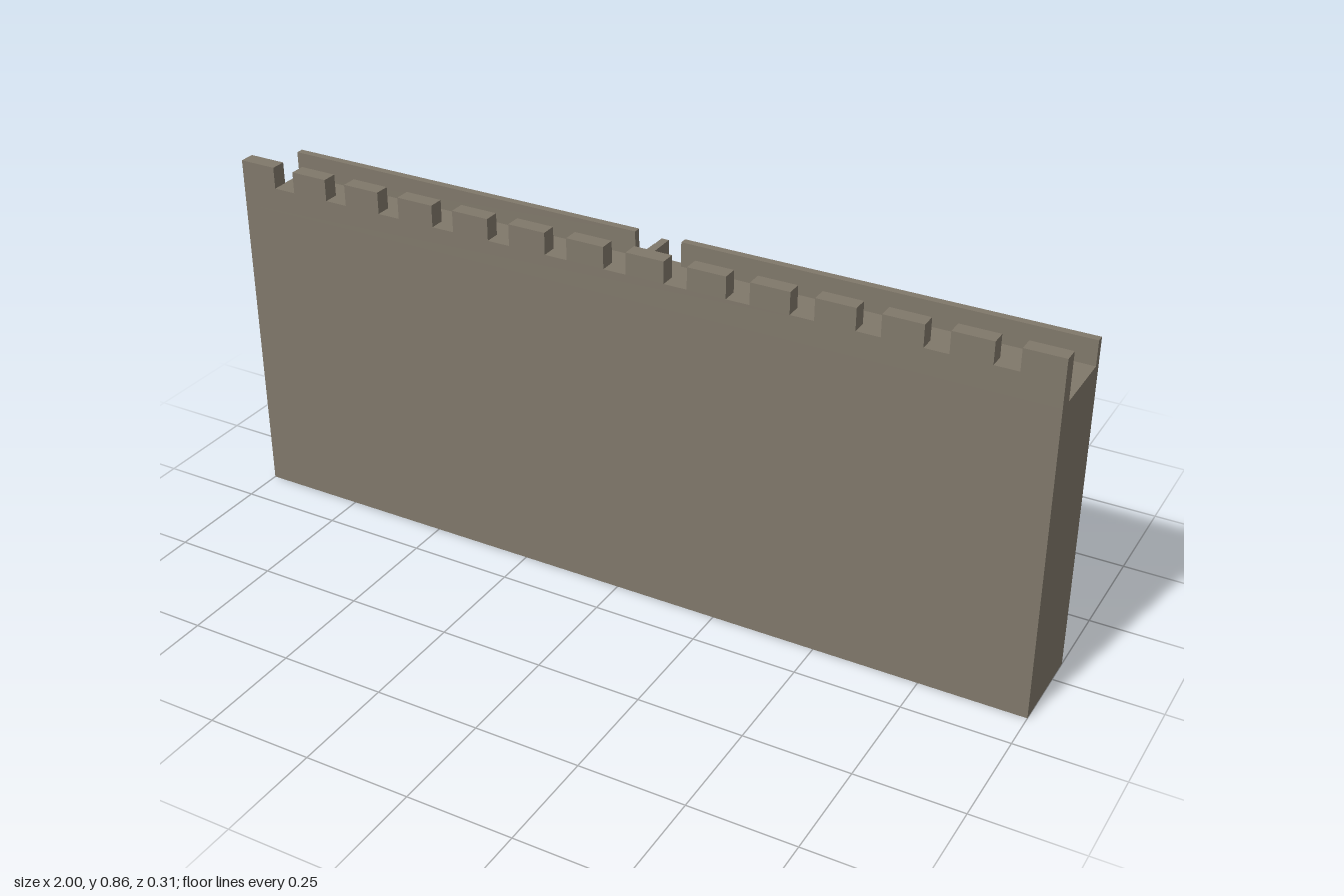
import * as THREE from 'three';

const FRONT = 0.1545, BACK = -0.064, WALK = 0.751, RAIL = 0.81, TOP = 0.862;

export function createModel() {
  const model = new THREE.Group();
  const stone = new THREE.MeshStandardMaterial({ color: 0x80786a, side: THREE.DoubleSide });
  stone.name = 'stone';

  const add = (name, geometry) => {
    const mesh = new THREE.Mesh(geometry, stone);
    mesh.name = name;
    model.add(mesh);
    return mesh;
  };
  // Box given by its two opposite corners
  const block = (name, x0, x1, y0, y1, z0, z1) => {
    const mesh = add(name, new THREE.BoxGeometry(x1 - x0, y1 - y0, z1 - z0));
    mesh.position.set((x0 + x1) / 2, (y0 + y1) / 2, (z0 + z1) / 2);
    return mesh;
  };

  // Hollow wall body, open underneath (bottom side of the box removed)
  const body = block('wallBody', -1, 1, 0, WALK, BACK, FRONT).geometry;
  const index = Array.from(body.index.array);
  index.splice(body.groups[3].start, body.groups[3].count);
  body.setIndex(index);
  body.clearGroups();

  // Front parapet with a row of merlons
  const merlons = 14, width = 0.0917, pitch = (2 - width) / (merlons - 1);
  const outline = new THREE.Shape();
  outline.moveTo(1, WALK);
  for (let i = merlons - 1; i >= 0; i--) {
    const x = -1 + i * pitch;
    outline.lineTo(x + width, i === merlons - 1 ? WALK : RAIL);
    outline.lineTo(x + width, TOP);
    outline.lineTo(x, TOP);
    outline.lineTo(x, i === 0 ? WALK : RAIL);
  }
  const parapet = new THREE.ExtrudeGeometry(outline, { depth: FRONT - 0.118, bevelEnabled: false });
  add('battlement', parapet.translate(0, 0, 0.118));

  // Low rear rail with a gap at the head of the stairs
  block('rearRailRight', -1, -0.063, WALK, RAIL, BACK, -0.046);
  block('rearRailLeft', 0.053, 1, WALK, RAIL, BACK, -0.046);

  // Staircase rising along the back towards the gap
  const steps = 45, startX = -0.877, endX = -0.037;
  const stairs = new THREE.Shape();
  stairs.moveTo(startX, 0);
  for (let i = 0; i < steps; i++) {
    const y = WALK * (i + 1) / steps;
    stairs.lineTo(startX + (endX - startX) * i / steps, y);
    stairs.lineTo(startX + (endX - startX) * (i + 1) / steps, y);
  }
  stairs.lineTo(endX, 0);
  const flight = new THREE.ExtrudeGeometry(stairs, { depth: BACK + FRONT, bevelEnabled: false });
  add('staircase', flight.translate(0, 0, -FRONT));

  return model;
}
